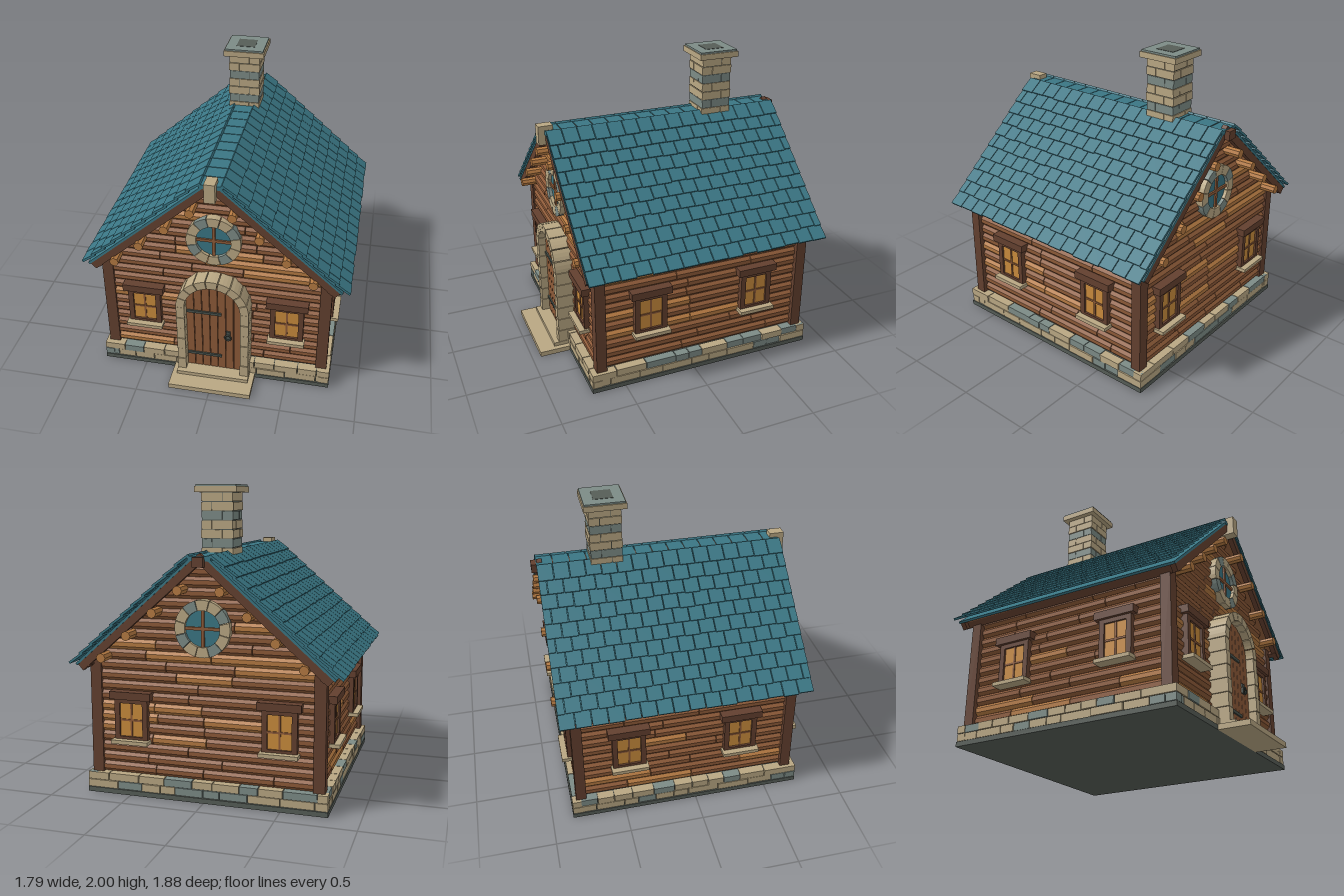
import * as THREE from 'three';
import { mergeGeometries } from 'three/addons/utils/BufferGeometryUtils.js';

const mat = (name, color) => Object.assign(new THREE.MeshStandardMaterial({ color }), { name });
const M = {
  wood: mat('wood', 0x8d5a38), light: mat('light wood', 0xb57a42), dark: mat('dark wood', 0x63402f),
  roof: mat('teal shingle', 0x3a7684), beige: mat('beige stone', 0xb9a783), grey: mat('grey stone', 0x7c8b86),
  slate: mat('dark slate', 0x565d57), amber: mat('amber glass', 0xc98b3c), iron: mat('iron', 0x48524c),
};

let seed = 7;
const rnd = () => (seed = (seed * 16807) % 2147483647) / 2147483647;

const box = (w, h, d, x = 0, y = 0, z = 0, rz = 0) =>
  new THREE.BoxGeometry(w, h, d).rotateZ(rz).translate(x, y, z);

// Merges pieces into one flat-faced mesh
function add(parent, name, material, geos) {
  if (!geos.length) return;
  const g = mergeGeometries(geos.map(q => (q.index ? q.toNonIndexed() : q)));
  g.computeVertexNormals();
  const m = new THREE.Mesh(g, material);
  m.name = name;
  parent.add(m);
}

function group(parent, name, x = 0, y = 0, z = 0, ry = 0) {
  const g = new THREE.Group();
  g.name = name;
  g.position.set(x, y, z);
  g.rotation.y = ry;
  parent.add(g);
  return g;
}

const extrude = (pts, depth, z = 0) =>
  new THREE.ExtrudeGeometry(new THREE.Shape(pts.map(p => new THREE.Vector2(...p))), { depth, bevelEnabled: false }).translate(0, 0, z);

// One stone of an arch or ring
function wedge(r0, r1, a0, a1, depth, y, z) {
  const pts = [];
  for (let i = 0; i <= 3; i++) { const a = a0 + (a1 - a0) * i / 3; pts.push([r1 * Math.cos(a), y + r1 * Math.sin(a)]); }
  for (let i = 3; i >= 0; i--) { const a = a0 + (a1 - a0) * i / 3; pts.push([r0 * Math.cos(a), y + r0 * Math.sin(a)]); }
  return extrude(pts, depth, z);
}

// Splits a run into pieces of uneven length
function split(from, to, size, fn) {
  let a = from;
  while (a < to - 1e-4) {
    let b = a + size * (0.6 + 0.8 * rnd());
    if (to - b < size * 0.4) b = to;
    fn((a + b) / 2, b - a - 0.005);
    a = b;
  }
}

const SLOPE = 0.88, PEAK = 1.66, ZC = -0.0725, ROW = 0.0685;

// Faceted log siding; outer surface lies at local z = 0
function logWall(parent, halfAt, top) {
  const wood = [], light = [];
  for (let y = 0.135 + ROW / 2; y < top; y += ROW) {
    const h = halfAt(y);
    if (h < 0.03) break;
    split(-h, h, 0.5, (x, len) => {
      const log = new THREE.CylinderGeometry(1, 1, len, 8).rotateY(Math.PI / 8).rotateZ(Math.PI / 2)
        .scale(1, 0.0365, 0.0325).translate(x, y, -0.03);
      (rnd() < 0.22 ? light : wood).push(log);
    });
  }
  add(parent, 'wallLogs', M.wood, wood);
  add(parent, 'paleWallLogs', M.light, light);
}

// Four-pane window, local z = 0 is the wall surface
function windowAt(parent, x) {
  const w = group(parent, 'window', x, 0.5, 0);
  add(w, 'windowGlass', M.amber, [box(0.16, 0.23, 0.008, 0, 0, 0.012)]);
  add(w, 'windowFrame', M.dark, [
    box(0.035, 0.28, 0.05, -0.095, 0, 0.005), box(0.035, 0.28, 0.05, 0.095, 0, 0.005),
    box(0.2, 0.025, 0.05, 0, -0.12, 0.005), box(0.28, 0.05, 0.07, 0, 0.165, 0.015), box(0.2, 0.03, 0.05, 0, 0.127, 0.005)]);
  add(w, 'windowBars', M.wood, [box(0.013, 0.23, 0.012, 0, 0, 0.016), box(0.16, 0.013, 0.012, 0, 0, 0.016)]);
  add(w, 'windowSill', M.beige, [box(0.25, 0.025, 0.09, 0, -0.138, 0.025)]);
}

function roundWindow(parent) {
  const w = group(parent, 'roundWindow', 0, 1.12, 0);
  const stones = [[], []], n = 12;
  for (let i = 0; i < n; i++) {
    const a = (i - 0.5) * Math.PI * 2 / n;
    stones[i % 3 === 1 ? 1 : 0].push(wedge(0.115, 0.18, a + 0.012, a + Math.PI * 2 / n - 0.012, 0.06, 0, -0.025));
  }
  add(w, 'ringStones', M.beige, stones[0]);
  add(w, 'greyRingStones', M.grey, stones[1]);
  add(w, 'roundGlass', M.roof, [new THREE.CylinderGeometry(0.12, 0.12, 0.009, 24).rotateX(Math.PI / 2).translate(0, 0, 0.008)]);
  add(w, 'roundBars', M.wood, [box(0.02, 0.236, 0.016, 0, 0, 0.016), box(0.236, 0.02, 0.016, 0, 0, 0.016)]);
}

function buildBase(root) {
  const b = group(root, 'base', 0, 0, -0.065);
  add(b, 'foundationSlab', M.slate, [box(1.6, 0.032, 1.59, 0, 0.016, 0)]);
  add(b, 'foundationCore', M.slate, [box(1.56, 0.098, 1.55, 0, 0.08, 0)]);
  const stones = [[], []];
  for (let side = 0; side < 4; side++) for (let row = 0; row < 2; row++) {
    const half = side % 2 ? 0.795 : 0.8, out = side % 2 ? 0.8 : 0.795;
    split(-half, half, 0.16, (x, len) => {
      const g = box(len, 0.048, 0.06, x, 0.059 + row * 0.052, out - 0.03 - rnd() * 0.008);
      stones[rnd() < 0.33 ? 1 : 0].push(g.rotateY(side * Math.PI / 2));
    });
  }
  add(b, 'foundationStones', M.beige, stones[0]);
  add(b, 'greyFoundationStones', M.grey, stones[1]);
}

function buildWalls(root) {
  const core = [[-0.72, 0.1], [0.72, 0.1], [0.72, 0.92], [0, 1.55], [-0.72, 0.92]];
  add(root, 'wallCore', M.dark, [extrude(core, 1.43, -0.785)]);
  const gable = y => Math.min(0.73, (PEAK - 0.1 - y) / SLOPE);
  for (const [name, x, z, ry] of [['frontWall', 0, 0.68, 0], ['backWall', 0, -0.82, Math.PI],
    ['leftWall', 0.75, ZC, Math.PI / 2], ['rightWall', -0.75, ZC, -Math.PI / 2]]) {
    const w = group(root, name, x, 0, z, ry);
    const end = x === 0;
    logWall(w, end ? gable : () => 0.72, end ? 1.5 : 0.88);
    // side windows sit at z = 0.31 and z = -0.46
    windowAt(w, end ? -0.49 : -0.3825);
    windowAt(w, end ? 0.49 : 0.3825);
    if (end) roundWindow(w);
  }
  const posts = [];
  for (const x of [-0.7375, 0.7375]) for (const z of [0.655, -0.795]) posts.push(box(0.075, 0.76, 0.07, x, 0.51, z));
  add(root, 'cornerPosts', M.dark, posts);
}

function buildDoor(root) {
  const d = group(root, 'doorway');
  const R = 0.19, Y = 0.61, n = 7, planks = [], stones = [];
  for (let i = 0; i < n; i++) {
    const a = -R + i * 2 * R / n + 0.002, b = -R + (i + 1) * 2 * R / n - 0.002;
    const pts = [[a, 0.06], [b, 0.06]];
    for (let k = 4; k >= 0; k--) { const x = a + (b - a) * k / 4; pts.push([x, Y + Math.sqrt(Math.max(0, R * R - x * x))]); }
    planks.push(extrude(pts, 0.05, 0.69));
  }
  add(d, 'doorPlanks', M.wood, planks);
  add(d, 'doorBacking', M.dark, [box(0.38, 0.56, 0.04, 0, 0.34, 0.71),
    new THREE.CylinderGeometry(R, R, 0.04, 24).rotateX(Math.PI / 2).translate(0, Y, 0.71)]);
  for (let i = 0; i < 9; i++) stones.push(wedge(R, 0.247, i * Math.PI / 9 + 0.012, (i + 1) * Math.PI / 9 - 0.012, 0.13, Y, 0.665));
  for (const s of [-1, 1]) for (let i = 0; i < 6; i++)
    stones.push(box(0.057, 0.088, 0.13 - 0.006 * (i % 2), s * 0.2185, 0.106 + i * 0.0917, 0.73));
  add(d, 'doorArchStones', M.beige, stones);
  add(d, 'doorSteps', M.beige, [box(0.57, 0.035, 0.24, 0, 0.0175, 0.82), box(0.5, 0.027, 0.16, 0, 0.0485, 0.75)]);
  add(d, 'doorHinges', M.iron, [0.175, 0.55].map(y => box(0.24, 0.02, 0.012, -0.065, y, 0.744)));
  add(d, 'doorHandle', M.iron, [box(0.03, 0.065, 0.012, 0.1, 0.375, 0.744),
    new THREE.TorusGeometry(0.021, 0.006, 6, 14).translate(0.1, 0.36, 0.757)]);
}

function buildRoof(root) {
  const ang = Math.atan(SLOPE), c = Math.cos(ang), L = 1.665;
  const s0 = 0.085 / c, s1 = 0.885 / c, rows = 11, pitch = (s1 - s0) / rows;
  for (const side of [0, 1]) {
    const outer = group(root, side ? 'rightRoof' : 'leftRoof', 0, PEAK, ZC, side * Math.PI);
    const slope = group(outer, 'roofSlope');
    slope.rotation.z = -ang;
    // local x runs down the slope, local y is its normal
    const slab = (a, b, top, bot, w, z = 0) => box(b - a, top - bot, w, (a + b) / 2, (top + bot) / 2, z);
    add(slope, 'roofDeck', M.roof, [slab(0.1, s1 - 0.02, -0.038, -0.054, L - 0.01)]);
    const dark = [slab(s1 - 0.09, s1 - 0.06, -0.054, -0.11, L - 0.02)];
    for (const z of [-1, 1]) dark.push(slab(0.05, s1 - 0.03, -0.054, -0.105, 0.035, z * (L / 2 - 0.025)));
    add(slope, 'bargeBoards', M.dark, dark);
    add(slope, 'soffit', M.wood, [slab(0.08, s1 - 0.06, -0.054, -0.066, L - 0.06)]);
    const tiles = [];
    for (let r = 0; r < rows; r++) {
      const w = L / 16, shift = r % 2 ? w / 2 : 0;
      for (let k = 0; k <= 16; k++) {
        const a = Math.max(-L / 2, -L / 2 + k * w - shift), b = Math.min(L / 2, -L / 2 + (k + 1) * w - shift);
        if (b - a < 0.01) continue;
        const len = pitch + 0.014 + rnd() * 0.008;
        tiles.push(box(len, 0.015, b - a - 0.005, s0 + r * pitch + len / 2 - 0.008, -0.014, (a + b) / 2, 0.1));
      }
    }
    add(slope, 'roofShingles', M.roof, tiles);
  }
  // ridge strip and its end pieces
  const caps = [];
  for (let i = 0; i < 15; i++) caps.push(box(0.15, 0.028, L / 15 - 0.006, 0, 1.555, ZC - L / 2 + (i + 0.5) * L / 15));
  add(root, 'ridgeCaps', M.roof, caps);
  add(root, 'ridgeBeam', M.dark, [box(0.07, 0.06, 1.66, 0, 1.535, -0.105)]);
  add(root, 'ridgeKeystone', M.beige, [box(0.07, 0.13, 0.1, 0, 1.535, 0.75)]);
  // purlin logs poking out under both gables
  const purlins = [];
  for (const s of [-1, 1]) for (const [x, y] of [[0.135, 1.36], [0.305, 1.215], [0.48, 1.065], [0.655, 0.915]])
    purlins.push(new THREE.CylinderGeometry(0.031, 0.031, 1.705, 8).rotateX(Math.PI / 2).translate(s * x, y, ZC));
  add(root, 'purlins', M.light, purlins);
}

function buildChimney(root) {
  const c = group(root, 'chimney', 0, 0, -0.445);
  add(c, 'chimneyCore', M.slate, [box(0.2, 0.5, 0.2, 0, 1.7, 0)]);
  const stones = [[], []], h = 0.0583;
  for (let r = 0; r < 8; r++) for (let side = 0; side < 4; side++) {
    const cut = (r % 2 ? 0.035 : -0.035), y = 1.482 + (r + 0.5) * h, out = 0.108 - (r % 3) * 0.002;
    for (const [a, b] of [[-out, cut], [cut, out]])
      stones[r === 2 || r === 5 ? 1 : 0].push(
        box(b - a - 0.004, h - 0.005, 0.03, (a + b) / 2, y, out - 0.015).rotateY(side * Math.PI / 2));
  }
  add(c, 'chimneyStones', M.beige, stones[0]);
  add(c, 'greyChimneyStones', M.grey, stones[1]);
  add(c, 'chimneyCap', M.beige, [box(0.28, 0.038, 0.28, 0, 1.967, 0)]);
  add(c, 'chimneyCapTop', M.grey, [box(0.265, 0.012, 0.265, 0, 1.992, 0)]);
  add(c, 'flue', M.slate, [box(0.13, 0.006, 0.13, 0, 1.997, 0)]);
}

export function createModel() {
  const root = new THREE.Group();
  root.name = 'cottage';
  buildBase(root);
  buildWalls(root);
  buildDoor(root);
  buildRoof(root);
  buildChimney(root);
  return root;
}
